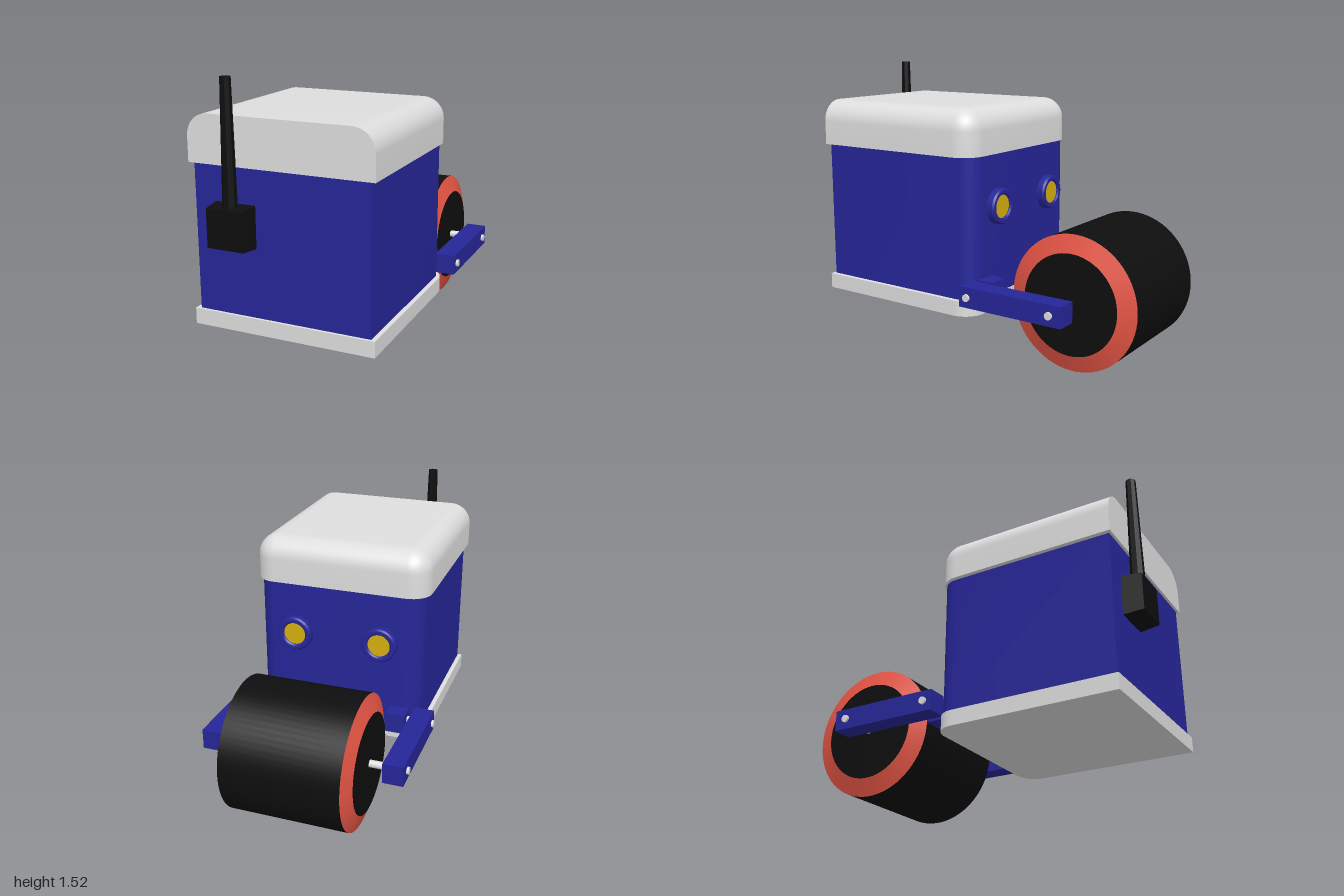
import * as THREE from 'three';
import { toCreasedNormals } from 'three/addons/utils/BufferGeometryUtils.js';

const mat = (name, color) => {
  const m = new THREE.MeshStandardMaterial({ color });
  m.name = name;
  return m;
};

export function createModel() {
  const blue = mat('blue', 0x262699);
  const white = mat('offWhite', 0xdedede);
  const red = mat('red', 0xe55545);
  const black = mat('black', 0x0e0e0e);
  const yellow = mat('yellow', 0xd6ae10);
  const model = new THREE.Group();
  model.name = 'rollerMachine';

  const add = (name, geo, material, x = 0, y = 0, z = 0, parent = model) => {
    const mesh = new THREE.Mesh(geo, material);
    mesh.name = name;
    mesh.position.set(x, y, z);
    parent.add(mesh);
    return mesh;
  };
  const box = (w, h, d) => new THREE.BoxGeometry(w, h, d);
  // cylinder whose axis lies along x, its top facing side s
  const xCylinder = (s, top, bottom, len, seg, open = false) =>
    new THREE.CylinderGeometry(top, bottom, len, seg, 1, open).rotateZ(-s * Math.PI / 2);

  // footprint with square front corners and rounded back corners
  const footprint = (w, front, back, r) => {
    const pts = [[w, front]], n = 12;
    for (const s of [1, -1]) {
      for (let i = 0; i <= n; i++) {
        const a = (s > 0 ? i : n - i) / n * Math.PI / 2;
        pts.push([s * (w - r + r * Math.cos(a)), back + r - r * Math.sin(a)]);
      }
    }
    pts.push([-w, front]);
    return pts;
  };

  // closed solid through footprints at [height, inset] levels
  const loft = (w, front, back, r, levels) => {
    const rings = levels.map(([y, d]) =>
      footprint(w - d, front, back + d, Math.max(r - d, 0.002)).map(([x, z]) => [x, y, z]));
    const pos = [];
    const tri = (a, b, c) => pos.push(...a, ...b, ...c);
    const n = rings[0].length;
    for (let k = 0; k < rings.length - 1; k++) {
      const lo = rings[k], hi = rings[k + 1];
      for (let i = 0; i < n; i++) {
        const j = (i + 1) % n;
        tri(lo[i], lo[j], hi[j]);
        tri(lo[i], hi[j], hi[i]);
      }
    }
    const bottom = rings[0], top = rings[rings.length - 1];
    for (let i = 1; i < n - 1; i++) {
      tri(top[0], top[i], top[i + 1]);
      tri(bottom[0], bottom[i + 1], bottom[i]);
    }
    const geo = new THREE.BufferGeometry();
    geo.setAttribute('position', new THREE.Float32BufferAttribute(pos, 3));
    return toCreasedNormals(geo, 0.6);
  };

  // cabin: base plate, body and domed-edge roof
  add('basePlate', loft(0.5, 0.908, -0.118, 0.115, [[0.225, 0], [0.31, 0]]), white);
  add('body', loft(0.475, 0.893, -0.114, 0.1, [[0.31, 0], [1.08, 0]]), blue);
  const roofR = 0.118, roofLevels = [[1.08, 0]];
  for (let i = 0; i <= 12; i++) {
    const a = i / 12 * Math.PI / 2;
    roofLevels.push([1.33 - roofR + roofR * Math.sin(a), roofR * (1 - Math.cos(a))]);
  }
  add('roof', loft(0.5, 0.908, -0.118, roofR, roofLevels), white);

  // antenna on a tapered mount
  const mount = box(0.222, 0.22, 0.112);
  const p = mount.attributes.position;
  for (let i = 0; i < p.count; i++) {
    if (p.getZ(i) > 0) p.setXY(i, p.getX(i) * 0.91, p.getY(i) * 0.91);
  }
  mount.computeVertexNormals();
  add('antennaMount', mount, black, -0.247, 0.785, 0.944);
  const mast = toCreasedNormals(
    new THREE.CylinderGeometry(0.027, 0.038, 0.64, 8).rotateY(Math.PI / 8), 0.3);
  add('antenna', mast, black, -0.247, 1.2, 0.942);

  // drum wheel with bevelled red rims
  const wheel = new THREE.Group();
  wheel.name = 'drumWheel';
  wheel.position.set(0, 0.363, -0.637);
  model.add(wheel);
  add('tread', xCylinder(1, 0.363, 0.363, 0.65, 72, true), black, 0, 0, 0, wheel);
  for (const s of [1, -1]) {
    add('rim', xCylinder(s, 0.27, 0.363, 0.036, 72, true), red, s * 0.343, 0, 0, wheel);
    add('hub', new THREE.CircleGeometry(0.27, 72).rotateY(s * Math.PI / 2), black, s * 0.361, 0, 0, wheel);
  }

  // round eye housing, open at the centre
  const eyeProfile = [[0.098, 0], [0.098, 0.034], [0.09, 0.044], [0.072, 0.044], [0.064, 0.036], [0.064, 0.02]]
    .map(([r, y]) => new THREE.Vector2(r, y));
  const eyeRing = toCreasedNormals(
    new THREE.LatheGeometry(eyeProfile, 40).rotateX(-Math.PI / 2), 0.6);

  for (const s of [1, -1]) {
    const side = s > 0 ? 'left' : 'right';
    // swing arm, its bracket and pins
    add(side + 'Arm', box(0.112, 0.112, 0.617), blue, s * 0.504, 0.365, -0.397);
    add(side + 'Bracket', box(0.11, 0.112, 0.11), blue, s * 0.364, 0.365, -0.152);
    add(side + 'WheelPin', xCylinder(s, 0.02, 0.02, 0.22, 20), white, s * 0.462, 0.365, -0.637);
    add(side + 'PivotPin', xCylinder(s, 0.02, 0.02, 0.18, 20), white, s * 0.482, 0.365, -0.137);
    // eye lamp
    add(side + 'EyeRing', eyeRing, blue, s * 0.247, 0.797, -0.114).material = blue;
    add(side + 'EyeLens', new THREE.CircleGeometry(0.066, 40).rotateY(Math.PI), yellow, s * 0.247, 0.797, -0.146);
  }
  return model;
}
